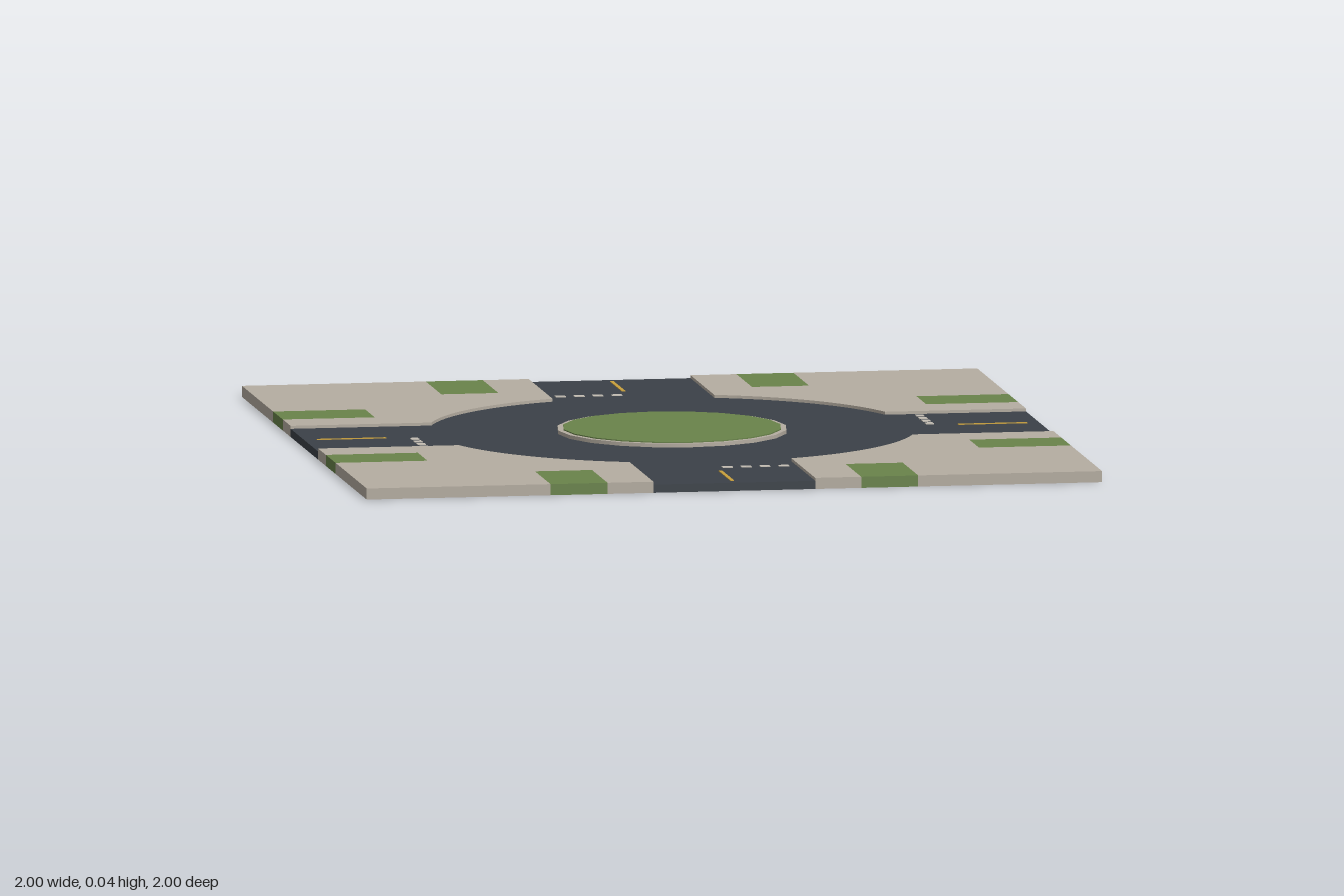
import * as THREE from 'three';

const mat = (name, color) => {
  const m = new THREE.MeshStandardMaterial({ color });
  m.name = name;
  return m;
};

export function createModel() {
  const model = new THREE.Group();
  model.name = 'roundabout';
  const paving = mat('paving', 0xb5ada1);
  const asphalt = mat('asphalt', 0x3b4148);
  const grass = mat('grass', 0x69834a);
  const yellow = mat('yellow paint', 0xc9a03c);
  const white = mat('pale paint', 0xc4beb4);

  const HALF_ROAD = 0.22, RADIUS = 0.655, SLAB = 0.03, ROAD = 0.022;
  const corner = Math.asin(HALF_ROAD / RADIUS); // where an arm meets the circle

  const add = (parent, name, geometry, material, x = 0, y = 0, z = 0) => {
    const mesh = new THREE.Mesh(geometry, material);
    mesh.name = name;
    mesh.position.set(x, y, z);
    parent.add(mesh);
    return mesh;
  };
  // Box standing with its base at height y
  const box = (parent, name, material, w, h, d, x, y, z) =>
    add(parent, name, new THREE.BoxGeometry(w, h, d), material, x, y + h / 2, z);
  // Flat outline raised to a slab
  const slab = (shape, depth) =>
    new THREE.ExtrudeGeometry(shape, { depth, bevelEnabled: false, curveSegments: 14 }).rotateX(-Math.PI / 2);

  // Carriageway: circle and four arms in one outline
  const road = new THREE.Shape();
  for (let i = 0; i < 4; i++) {
    const a = i * Math.PI / 2, c = Math.cos(a), s = Math.sin(a);
    const at = (x, y) => [x * c - y * s, x * s + y * c];
    if (i === 0) road.moveTo(...at(1, -HALF_ROAD));
    else road.lineTo(...at(1, -HALF_ROAD));
    road.lineTo(...at(1, HALF_ROAD));
    road.absarc(0, 0, RADIUS, a + corner, a + Math.PI / 2 - corner, false);
  }
  add(model, 'carriageway', slab(road, ROAD), asphalt);

  // Corner pavement with two notches for the grass beds
  const pavement = new THREE.Shape();
  pavement.absarc(0, 0, RADIUS, Math.PI / 2 - corner, corner, true);
  [[1, 0.22], [1, 0.345], [0.75, 0.345], [0.75, 0.5], [1, 0.5], [1, 1],
    [0.5, 1], [0.5, 0.75], [0.345, 0.75], [0.345, 1], [0.22, 1]].forEach(([x, y]) => pavement.lineTo(x, y));
  const pavementGeometry = slab(pavement, SLAB);

  // Each quarter holds a pavement corner, two beds and one arm's markings
  for (let i = 0; i < 4; i++) {
    const quarter = new THREE.Group();
    quarter.name = `quarter${i + 1}`;
    quarter.rotation.y = i * Math.PI / 2;
    model.add(quarter);
    add(quarter, 'pavement', pavementGeometry, paving);
    box(quarter, 'grassBed', grass, 0.25, SLAB, 0.155, 0.875, 0, -0.4225);
    box(quarter, 'grassBed', grass, 0.155, SLAB, 0.25, 0.4225, 0, -0.875);
    box(quarter, 'centreLine', yellow, 0.01, 0.002, 0.188, 0, ROAD, 0.872);
    for (let k = 0; k < 4; k++) {
      box(quarter, 'giveWayDash', white, 0.028, 0.002, 0.022, 0.031 + k * 0.051, ROAD, 0.705);
    }
  }

  // Central island: kerb with a lawn on top
  add(model, 'islandKerb', new THREE.CylinderGeometry(0.31, 0.31, 0.022, 20), paving, 0, 0.021, 0);
  add(model, 'islandLawn', new THREE.CylinderGeometry(0.295, 0.295, 0.004, 20), grass, 0, 0.033, 0);
  return model;
}
